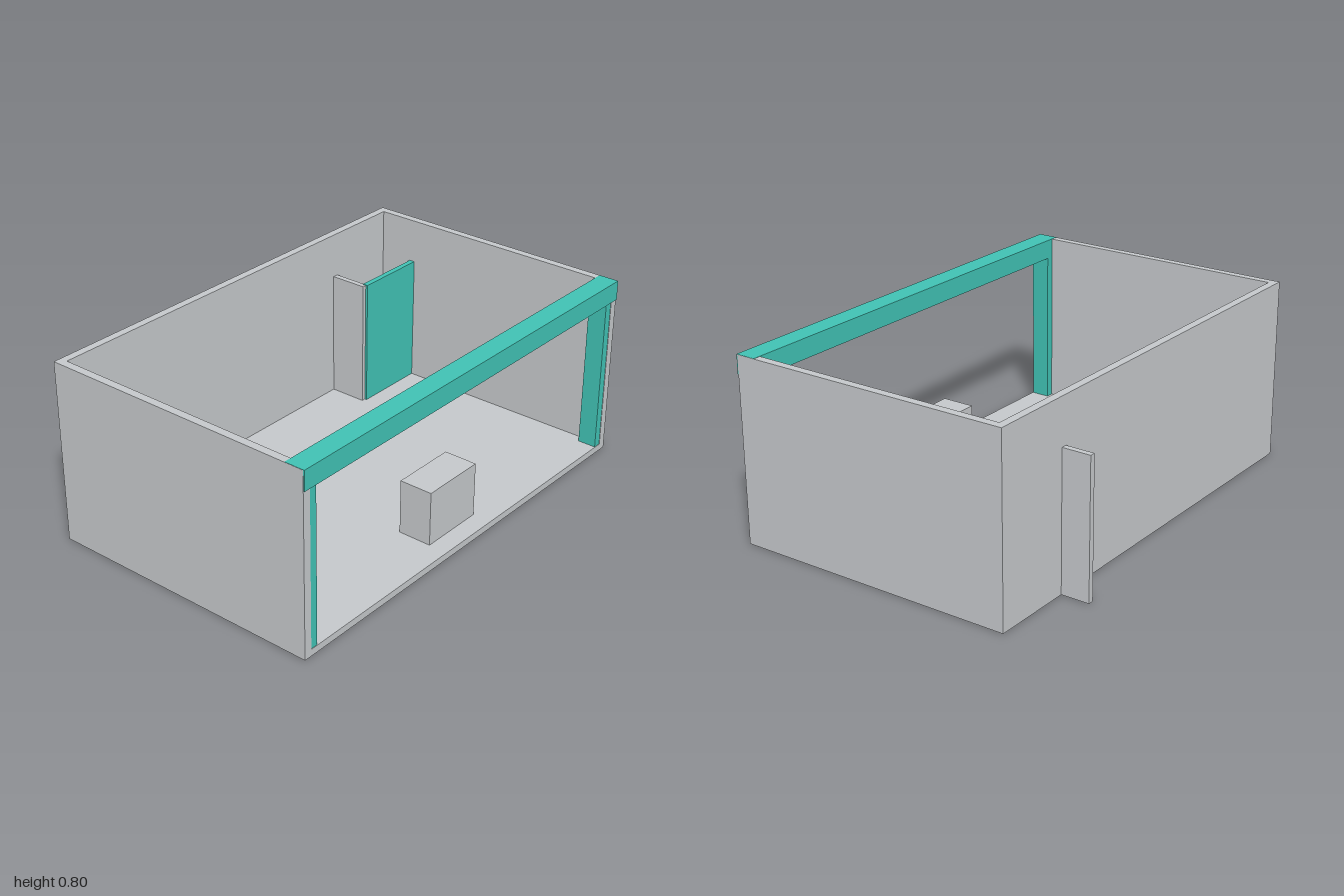
import * as THREE from 'three';

export function createModel() {
  const model = new THREE.Group();
  model.name = 'openFrontRoom';

  const grey = new THREE.MeshStandardMaterial({ color: 0xc4c7ca });
  grey.name = 'plaster grey';
  const teal = new THREE.MeshStandardMaterial({ color: 0x40c1b3 });
  teal.name = 'frame teal';

  // Adds a box given its extents along each axis
  function block(name, material, [x0, x1], [y0, y1], [z0, z1]) {
    const mesh = new THREE.Mesh(new THREE.BoxGeometry(x1 - x0, y1 - y0, z1 - z0), material);
    mesh.position.set((x0 + x1) / 2, (y0 + y1) / 2, (z0 + z1) / 2);
    mesh.name = name;
    model.add(mesh);
  }

  const front = 0.685, back = -0.565, wall = 0.035, floorTop = 0.03, top = 0.8;

  // Room shell, open at the top and front
  block('floor', grey, [-1, 1], [0, floorTop], [back, front]);
  block('backWall', grey, [-1, 1], [floorTop, top], [back, back + wall]);
  for (const side of [-1, 1]) {
    const label = side > 0 ? 'left' : 'right';
    const span = (a, b) => (side > 0 ? [a, b] : [-b, -a]);
    block(label + 'Wall', grey, span(1 - wall, 1), [floorTop, top], [back + wall, front]);
    // Front post, its outer half set into the side wall
    block(label + 'Post', teal, span(0.93, 0.998), [0.01, 0.72], [0.6, front - 0.002]);
  }

  // Beam across the open front
  block('frontBeam', teal, [-0.999, 0.999], [0.715, top + 0.001], [0.6, 0.69]);

  // Thin wall passing through the back, with the screen that closes the corner
  block('finWall', grey, [0.61, 0.635], [0, 0.6], [-0.69, -0.36]);
  block('cornerScreen', teal, [0.628, 0.97], [0.01, 0.603], [-0.375, -0.35]);

  // Counter just inside the opening
  block('counter', grey, [-0.148, 0.148], [0.01, 0.27], [0.45, 0.6]);

  return model;
}
